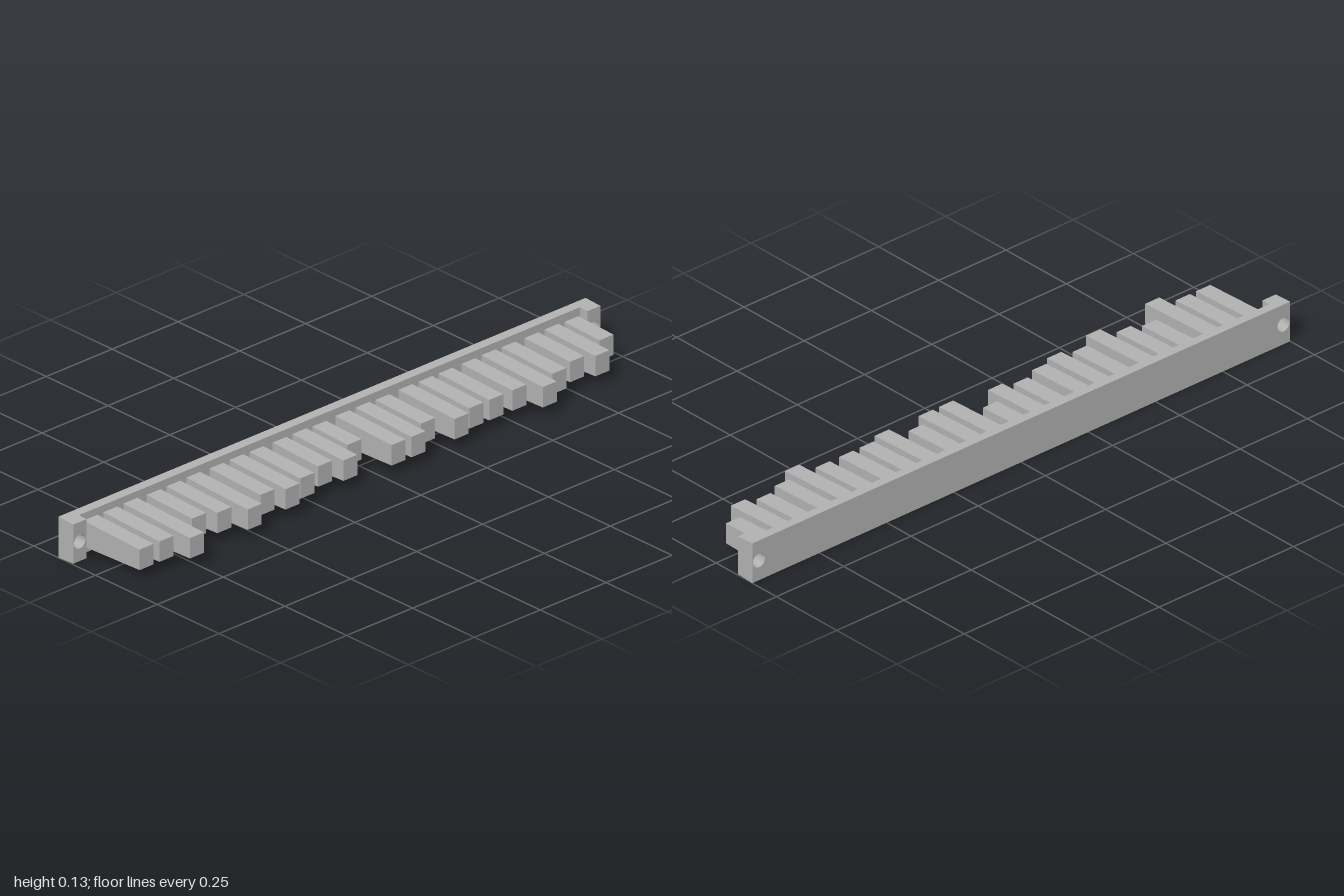
import * as THREE from 'three';

const BACK = -0.15, PLATE_FRONT = -0.12, BLOCK_FRONT = -0.09;
const MID_Y = 0.0635, HOLE_X = 0.975, HOLE_R = 0.022;

// Scale heights about MID_Y so that each part has a draft angle along z
function draft(geometry, halfHeightAt) {
  const p = geometry.attributes.position;
  for (let i = 0; i < p.count; i++) {
    p.setY(i, MID_Y + p.getY(i) * halfHeightAt(p.getZ(i)));
  }
  geometry.computeVertexNormals();
  return geometry;
}

// Drafted slab of unit half height between x0 and x1, with round screw holes
function slab(x0, x1, z0, z1, holes) {
  const halfHeight = (z) => 0.0635 - (z - BACK) * 0.05;
  const shape = new THREE.Shape([
    new THREE.Vector2(x0, -1), new THREE.Vector2(x1, -1),
    new THREE.Vector2(x1, 1), new THREE.Vector2(x0, 1),
  ]);
  for (const x of holes) {
    const hole = new THREE.Path();
    hole.absellipse(x, 0, HOLE_R, HOLE_R / 0.062, 0, Math.PI * 2, true);
    shape.holes.push(hole);
  }
  const g = new THREE.ExtrudeGeometry(shape, { depth: z1 - z0, bevelEnabled: false, curveSegments: 20 });
  g.translate(0, 0, z0);
  return draft(g, halfHeight);
}

export function createModel() {
  const model = new THREE.Group();
  model.name = 'toothedBar';
  const grey = new THREE.MeshStandardMaterial({ color: 0xb0b0b0 });
  grey.name = 'grey';

  const add = (name, geometry) => {
    const mesh = new THREE.Mesh(geometry, grey);
    mesh.name = name;
    model.add(mesh);
  };

  // Long backing plate and a raised mounting block at each end
  add('backPlate', slab(-1, 1, BACK, PLATE_FRONT, [-HOLE_X, HOLE_X]));
  add('rightEndBlock', slab(-1, -0.95, PLATE_FRONT, BLOCK_FRONT, [-HOLE_X]));
  add('leftEndBlock', slab(0.95, 1, PLATE_FRONT, BLOCK_FRONT, [HOLE_X]));

  // Eight groups of three teeth; each number is how many steps a tooth is cut short
  const cuts = [
    [2, 2, 0], [4, 3, 1], [3, 2, 3], [4, 3, 6],
    [2, 2, 4], [2, 3, 3], [3, 1, 3], [4, 3, 6],
  ];
  cuts.forEach((group, g) => group.forEach((cut, t) => {
    const front = 0.15 - cut * 0.0212;
    const length = front - PLATE_FRONT;
    const tooth = new THREE.BoxGeometry(0.053, 2, length).toNonIndexed();
    tooth.translate(-0.907 + g * 0.239 + t * 0.0757, 0, PLATE_FRONT + length / 2);
    add(`tooth${g * 3 + t + 1}`, draft(tooth, (z) => 0.0315 + (front - z) * 0.036));
  }));

  return model;
}
